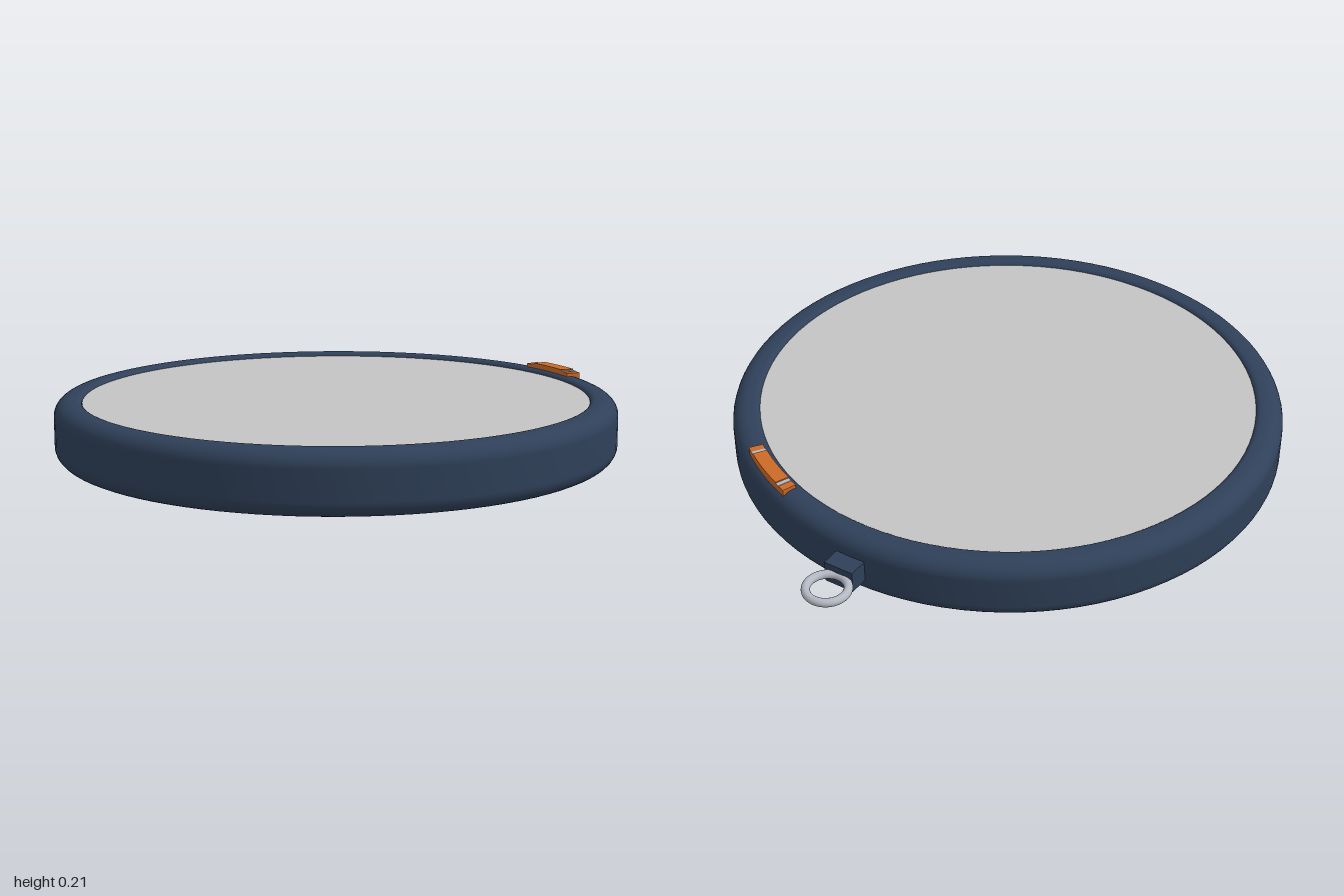
import * as THREE from 'three';

const material = (name, color, side = THREE.FrontSide) => {
  const m = new THREE.MeshStandardMaterial({ color, side });
  m.name = name;
  return m;
};

export function createModel() {
  const group = new THREE.Group();
  const navy = material('navy casing', 0x2f4059);
  const glass = material('grey lens', 0xc4c4c4);
  const steel = material('steel', 0xb4b8c2);
  const orange = material('orange', 0xcc6a28);

  const add = (name, geometry, mat, x = 0, y = 0, z = 0) => {
    const mesh = new THREE.Mesh(geometry, mat);
    mesh.name = name;
    mesh.position.set(x, y, z);
    group.add(mesh);
    return mesh;
  };

  const centreZ = 0.095;
  const R = 0.9, H = 0.195, lensR = 0.81;

  // Round casing: flat underside, rounded outer edges and a softly rolled rim
  const profile = [new THREE.Vector2(0, 0)];
  const arc = (cx, cy, rx, ry, from, to) => {
    for (let i = 0; i <= 8; i++) {
      const a = THREE.MathUtils.degToRad(from + (to - from) * i / 8);
      profile.push(new THREE.Vector2(cx + rx * Math.cos(a), cy + ry * Math.sin(a)));
    }
  };
  arc(R - 0.055, 0.05, 0.055, 0.05, -90, 0);
  arc(R - 0.055, H - 0.05, 0.055, 0.05, 0, 90);
  arc(lensR + 0.02, H - 0.015, 0.02, 0.015, 90, 180);
  profile.push(new THREE.Vector2(lensR, H - 0.03));
  add('casing', new THREE.LatheGeometry(profile, 96), navy, 0, 0, centreZ);

  // Flat lens filling the rim
  add('lens', new THREE.CircleGeometry(lensR + 0.002, 96).rotateX(-Math.PI / 2),
    glass, 0, H - 0.012, centreZ);

  // Hanging tab and ring at the back
  add('hangerTab', new THREE.BoxGeometry(0.1, 0.07, 0.09), navy, 0, 0.095, -0.82);
  add('hangerRing', new THREE.TorusGeometry(0.063, 0.0135, 16, 48).rotateX(Math.PI / 2),
    steel, 0, 0.095, -0.9235);

  // Curved marker pieces, following the rim between two angles
  const rimBand = (name, from, to, y0, y1, mat) => {
    const a = THREE.MathUtils.degToRad(from), b = THREE.MathUtils.degToRad(to);
    const shape = new THREE.Shape();
    shape.absarc(0, 0, 0.878, a, b, false);
    shape.absarc(0, 0, 0.832, b, a, true);
    const geo = new THREE.ExtrudeGeometry(shape, {
      depth: y1 - y0, bevelEnabled: false, curveSegments: 10,
    }).rotateX(-Math.PI / 2);
    add(name, geo, mat, 0, y0, centreZ);
  };
  rimBand('markerBase', 53.8, 70.3, 0.17, 0.207, orange);
  rimBand('markerTop', 56.6, 67.6, 0.207, 0.213, orange);
  for (const a of [56.1, 68.1]) rimBand('markerStripe', a - 0.5, a + 0.5, 0.207, 0.209, steel);

  return group;
}
